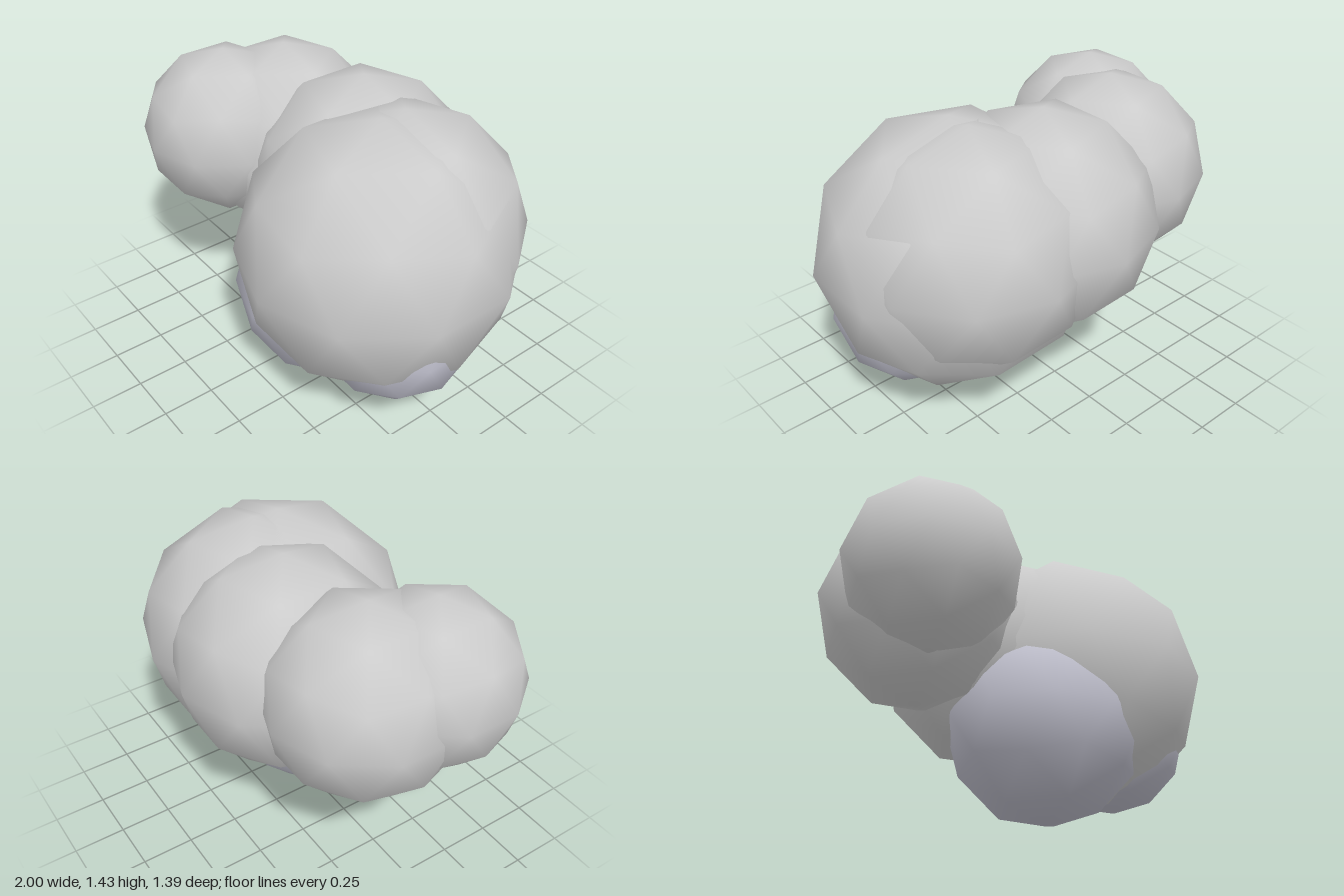
import * as THREE from 'three';

// Smooth 80-sided ball with a vertex at each pole of the y axis
function ballGeometry(radius) {
  const geometry = new THREE.IcosahedronGeometry(radius, 1);
  geometry.rotateZ(-Math.atan(2 / (1 + Math.sqrt(5))));
  return geometry;
}

export function createModel() {
  const group = new THREE.Group();
  group.name = 'cloud';

  const pale = new THREE.MeshStandardMaterial({ color: 0xcccccc });
  const shaded = new THREE.MeshStandardMaterial({ color: 0xbfbfcc });

  // name, centre x, y, z, radius, material
  const puffs = [
    ['mainPuff', 0.38, 0.775, 0.04, 0.65, pale],
    ['rearLeftPuff', 0.38, 0.845, -0.09, 0.58, pale],
    ['rearMiddlePuff', 0.02, 0.885, -0.16, 0.54, pale],
    ['rearRightPuff', -0.48, 0.95, -0.075, 0.475, pale],
    ['frontRightPuff', -0.605, 1.01, 0.19, 0.413, pale],
    ['lowerMiddlePuff', 0.14, 0.47, 0.105, 0.47, shaded],
    ['lowerLeftPuff', 0.58, 0.53, 0.1, 0.38, shaded],
  ];

  for (const [name, x, y, z, radius, material] of puffs) {
    const puff = new THREE.Mesh(ballGeometry(radius), material);
    puff.name = name;
    puff.position.set(x, y, z);
    group.add(puff);
  }
  return group;
}
